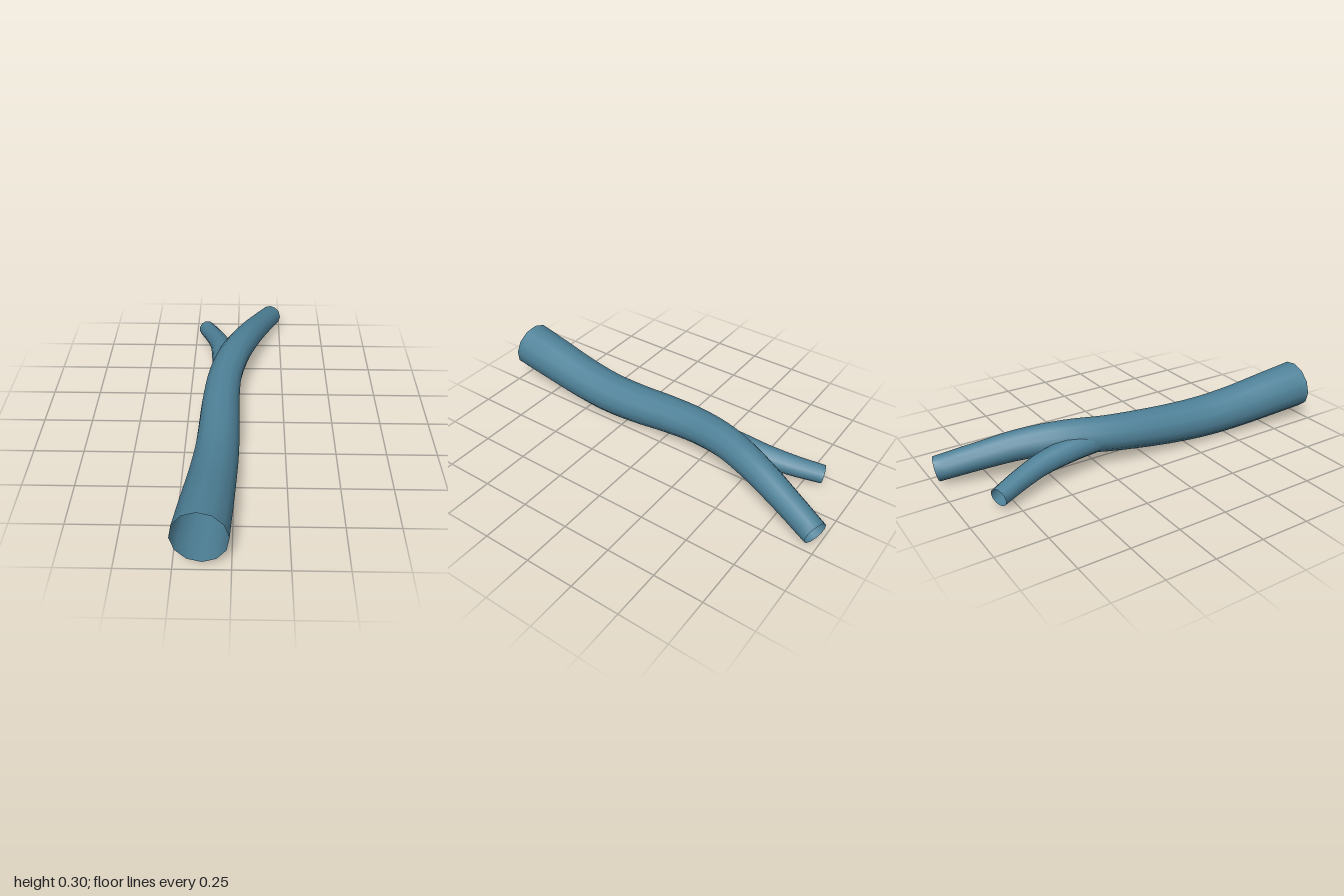
import * as THREE from 'three';
import { mergeVertices } from 'three/addons/utils/BufferGeometryUtils.js';

const bark = new THREE.MeshStandardMaterial({ color: 0x4f8299, side: THREE.DoubleSide });
bark.name = 'blue grey';

// Open tapered tube along stations [x, y, z, radius], running from front to back
function limb(name, stations, rings) {
  const curve = new THREE.CatmullRomCurve3(stations.map(([x, y, z]) => new THREE.Vector3(x, y, z)));
  const last = stations.length - 1;
  const radiusAt = (t) => {
    const i = Math.min(Math.floor(t * last), last - 1);
    return THREE.MathUtils.lerp(stations[i][3], stations[i + 1][3], t * last - i);
  };

  let geometry = new THREE.CylinderGeometry(1, 1, 1, 12, rings, true);
  const pos = geometry.attributes.position;
  const up = new THREE.Vector3(0, 1, 0);
  const twist = THREE.MathUtils.degToRad(5);
  for (let i = 0; i < pos.count; i++) {
    const t = THREE.MathUtils.clamp(0.5 - pos.getY(i), 0, 1);
    const angle = Math.atan2(pos.getX(i), pos.getZ(i)) + twist;
    const tangent = curve.getTangent(t);
    const side = new THREE.Vector3().crossVectors(tangent, up).normalize();
    const lift = new THREE.Vector3().crossVectors(side, tangent);
    const r = radiusAt(t);
    const p = curve.getPoint(t)
      .addScaledVector(side, r * Math.cos(angle))
      .addScaledVector(lift, r * Math.sin(angle));
    pos.setXYZ(i, p.x, p.y, p.z);
  }
  // Weld the seam so the shading stays smooth all round
  geometry.deleteAttribute('uv');
  geometry.deleteAttribute('normal');
  geometry = mergeVertices(geometry, 1e-5);
  geometry.computeVertexNormals();

  const mesh = new THREE.Mesh(geometry, bark);
  mesh.name = name;
  return mesh;
}

export function createModel() {
  const group = new THREE.Group();
  group.name = 'forkedBranch';

  // Thick main stem with a gentle S bend
  group.add(limb('mainStem', [
    [-0.133, 0.177, 0.983, 0.126],
    [-0.117, 0.152, 0.79, 0.121],
    [-0.100, 0.126, 0.59, 0.114],
    [-0.086, 0.113, 0.39, 0.108],
    [-0.080, 0.121, 0.19, 0.102],
    [-0.077, 0.140, 0.0, 0.096],
    [-0.060, 0.160, -0.2, 0.089],
    [-0.012, 0.176, -0.4, 0.083],
    [0.058, 0.163, -0.6, 0.075],
    [0.130, 0.122, -0.8, 0.067],
    [0.197, 0.079, -0.98, 0.062],
  ], 40));

  // Thin side shoot growing out of the stem
  group.add(limb('sideShoot', [
    [-0.058, 0.150, -0.16, 0.066],
    [-0.068, 0.146, -0.30, 0.063],
    [-0.080, 0.137, -0.43, 0.060],
    [-0.098, 0.119, -0.57, 0.056],
    [-0.136, 0.096, -0.70, 0.051],
    [-0.189, 0.071, -0.835, 0.046],
  ], 24));

  return group;
}
